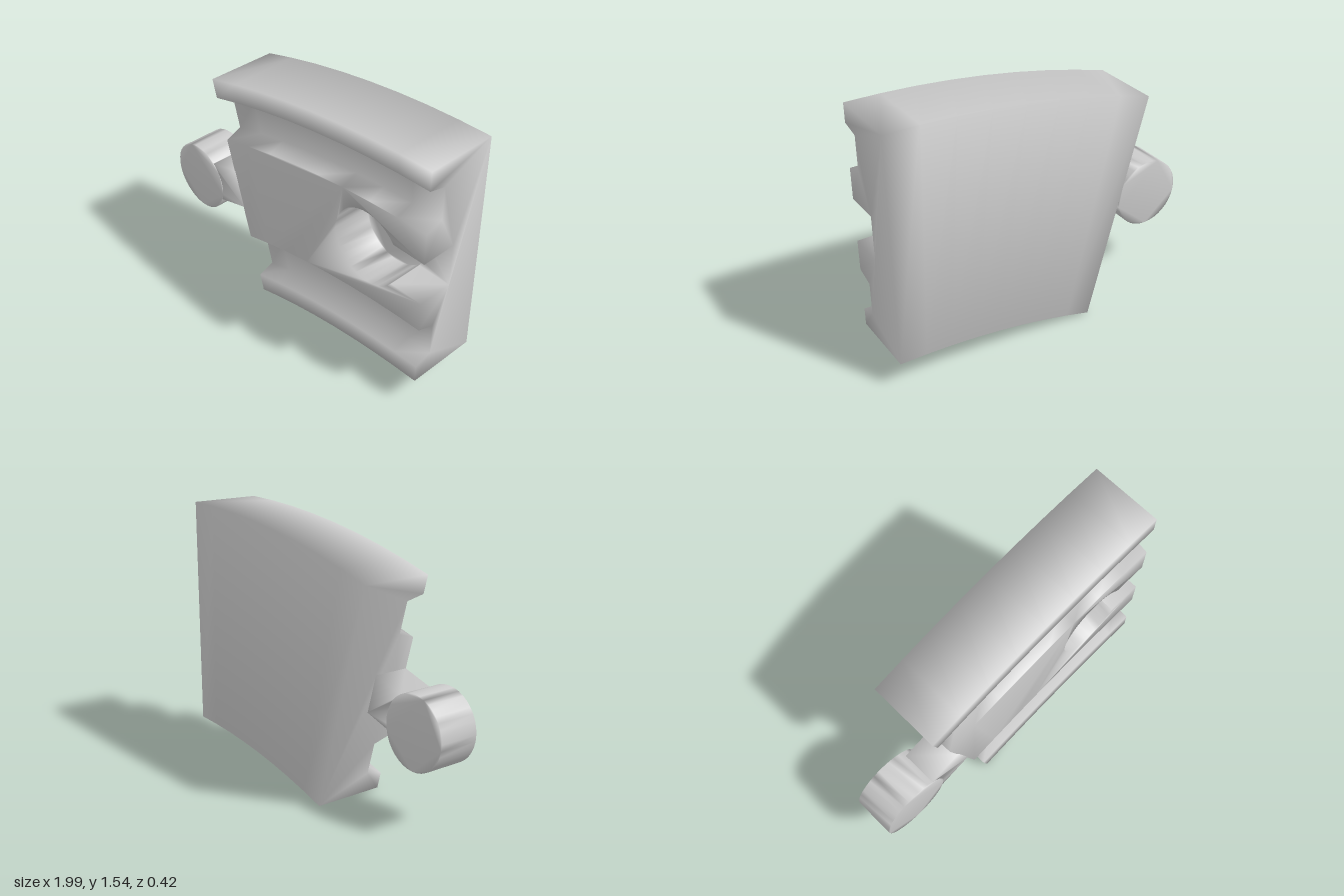
import * as THREE from 'three';
import { mergeGeometries, mergeVertices } from 'three/addons/utils/BufferGeometryUtils.js';

const CX = 1, CY = -4.315;            // centre of the curve
const SWEEP = 0.2775;                 // angle of the track piece
const A0 = Math.PI / 2, A1 = A0 + SWEEP;
const FRONT = 0.21, BACK = -0.21, GROOVE = 0.105, SLOT = 0, SOCKET = -0.03;
const R_IN = 4.49, R_OUT = 5.86, MID_IN = 4.862, MID_OUT = 5.49;
const STEPS = 8;
const socket = { x: 0.61, y: 0.86, r: 0.225, half: 0.13 };
const peg = { x: -0.785, y: 0.56, r: 0.21, half: 0.118 };

const material = new THREE.MeshStandardMaterial({ color: 0xcccccc });

// Points [x, y] along an arc
function arc(x, y, r, from, to, n) {
  return Array.from({ length: n + 1 }, (_, i) => {
    const t = from + (to - from) * i / n;
    return [x + r * Math.cos(t), y + r * Math.sin(t)];
  });
}

// Quads between neighbouring rows of 3D points
function grid(rows) {
  const pos = [];
  for (let i = 0; i + 1 < rows.length; i++) {
    for (let j = 0; j + 1 < rows[i].length; j++) {
      const a = rows[i][j], b = rows[i + 1][j], c = rows[i + 1][j + 1], d = rows[i][j + 1];
      pos.push(...a, ...b, ...c, ...a, ...c, ...d);
    }
  }
  return new THREE.BufferGeometry().setAttribute('position', new THREE.Float32BufferAttribute(pos, 3));
}

// Wall standing on a path, facing the right-hand side of its direction
const wall = (path, z0, z1) => grid(path.map(([x, y]) => [[x, y, z0], [x, y, z1]]));

const toShape = (points) => new THREE.Shape(points.map(([x, y]) => new THREE.Vector2(x, y)));

// Flat polygon, placed in space by a mapping of its two coordinates
function face(points, map, flip = false) {
  const g = new THREE.ShapeGeometry(toShape(points));
  const p = g.attributes.position;
  for (let i = 0; i < p.count; i++) p.setXYZ(i, ...map(p.getX(i), p.getY(i)));
  if (flip) g.setIndex(Array.from(g.index.array).reverse());
  const flat = g.toNonIndexed();
  flat.deleteAttribute('normal');
  flat.deleteAttribute('uv');
  return flat;
}

// Weld corners so the shading runs softly over every edge
function soften(g) {
  g.deleteAttribute('normal');
  g.deleteAttribute('uv');
  const welded = mergeVertices(g, 1e-3);
  welded.computeVertexNormals();
  return welded;
}

function trackGeometry() {
  // Cross-section [radius, z] from one edge of the middle band round to the other
  const profile = [
    [MID_OUT, FRONT], [5.525, GROOVE], [5.722, GROOVE], [5.748, FRONT], [R_OUT, FRONT], [R_OUT, BACK],
    [R_IN, BACK], [R_IN, FRONT], [4.595, FRONT], [4.625, GROOVE], [4.825, GROOVE], [MID_IN, FRONT],
  ];
  const rows = Array.from({ length: STEPS + 1 }, (_, i) => {
    const t = A1 - SWEEP * i / STEPS;
    return profile.map(([r, z]) => [CX + r * Math.cos(t), CY + r * Math.sin(t), z]);
  });

  // Keyhole socket outline
  const { x, y, r, half } = socket;
  const a = Math.asin(half / r);
  const low = [CX, y - half], high = [CX, y + half];
  const round = arc(x, y, r, -a, a - Math.PI * 2, 28);
  const mouth = arc(x, y, r, a, -a, 6);
  const start = round[0], end = round[round.length - 1];

  // Right end has the slot notched into it
  const notch = [[low[1] - CY, FRONT], [low[1] - CY, SLOT], [high[1] - CY, SLOT], [high[1] - CY, FRONT]];
  const at = (z) => (px, py) => [px, py, z];
  const onEnd = (t) => (rad, z) => [CX + rad * Math.cos(t), CY + rad * Math.sin(t), z];

  return mergeGeometries([
    grid(rows),
    face(profile, onEnd(A1), true),
    face([...profile, ...notch], onEnd(A0)),
    // Middle band face around the keyhole
    face([
      low, ...round, high,
      ...arc(CX, CY, MID_OUT, A0, A1, STEPS), ...arc(CX, CY, MID_IN, A1, A0, STEPS),
    ], at(FRONT)),
    // Socket and slot walls and floors
    wall(round, SOCKET, FRONT),
    wall([low, start], SLOT, FRONT),
    wall([end, high], SLOT, FRONT),
    wall(mouth, SOCKET, SLOT),
    face([low, high, ...mouth], at(SLOT)),
    face([...round, ...mouth.slice(1, -1)], at(SOCKET)),
  ]);
}

function extrude(points, z0, z1) {
  const g = new THREE.ExtrudeGeometry(toShape(points), { depth: z1 - z0, bevelEnabled: false });
  return g.translate(0, 0, z0);
}

export function createModel() {
  const group = new THREE.Group();
  const add = (name, geometry, parent) => {
    const mesh = new THREE.Mesh(soften(geometry), material);
    mesh.name = name;
    parent.add(mesh);
  };

  add('track', trackGeometry(), group);

  // Connector: round peg joined to the left end by a neck
  const connector = new THREE.Group();
  connector.name = 'connector';
  connector.position.set(peg.x, peg.y, 0);
  connector.rotation.z = SWEEP;
  group.add(connector);
  const a = Math.asin(peg.half / peg.r);
  const disc = arc(0, 0, peg.r, a, a + Math.PI * 2, 36).slice(0, -1);
  add('peg', extrude(disc, SOCKET, FRONT), connector);
  const neck = [...arc(0, 0, peg.r, a, -a, 6), [0.385, -peg.half], [0.385, peg.half]];
  add('neck', extrude(neck, SLOT, FRONT), connector);
  return group;
}
